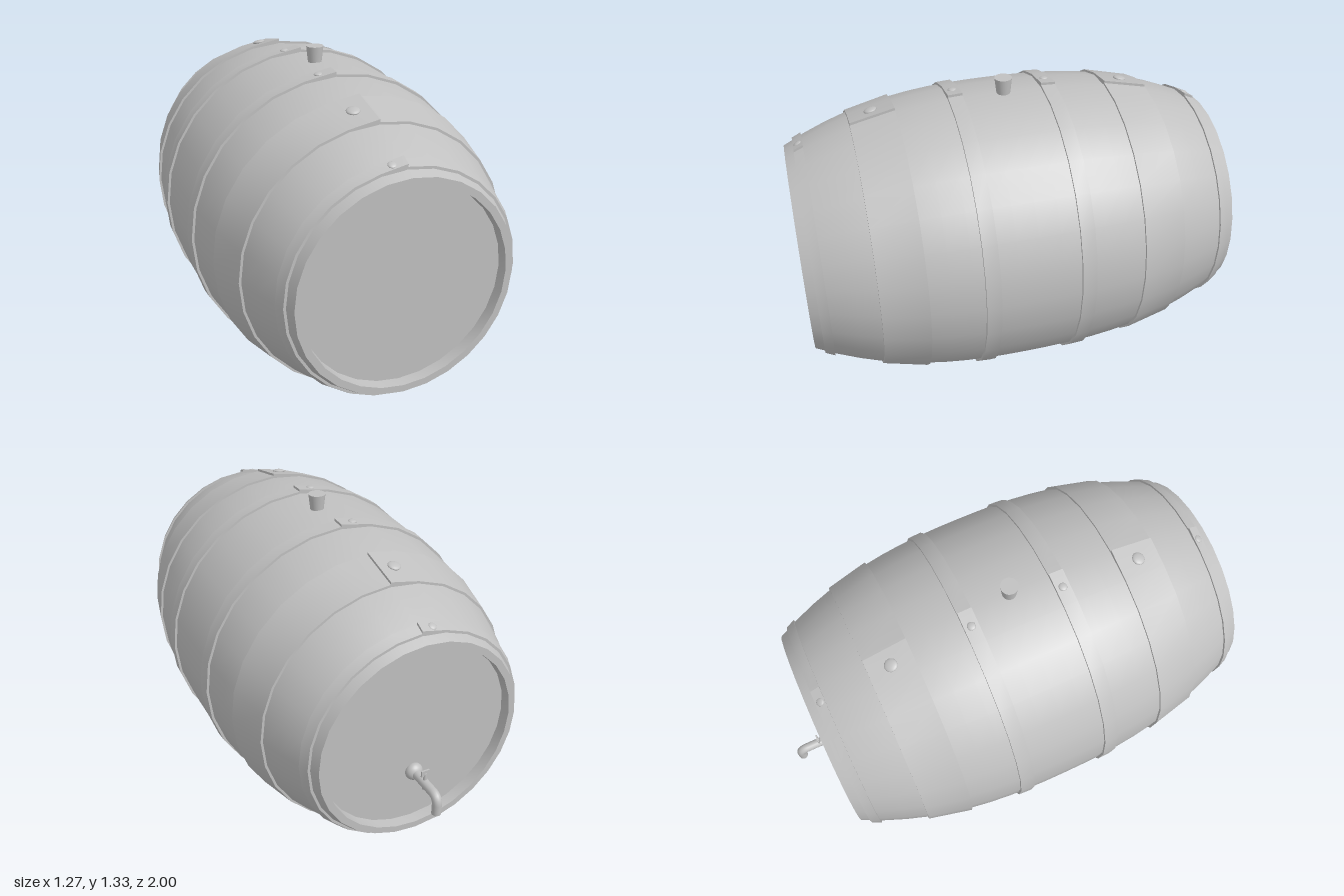
import * as THREE from 'three';
import { toCreasedNormals, mergeGeometries } from 'three/addons/utils/BufferGeometryUtils.js';

const SEGMENTS = 28;
const HALF = 0.92; // half length of the barrel
const CENTER_Y = 0.636, CENTER_Z = 0.08;

// radius of the staves at distance d from the middle
const staveRadius = (d) => 0.63 - 0.183 * Math.pow(Math.abs(d) / HALF, 2.5);

// lathe turned so that its axis runs along z, with the seam at the top
function latheZ(points) {
  const pts = points.map(([r, z]) => new THREE.Vector2(r, z));
  return new THREE.LatheGeometry(pts, SEGMENTS, Math.PI).rotateX(Math.PI / 2);
}

// metal band whose free end laps over its start at the top
function hoopGeometry(z0, z1) {
  const r0 = staveRadius(z0), r1 = staveRadius(z1), t = 0.01;
  const profile = [[r0 - t, z0], [r0 + t, z0], [r1 + t, z1], [r1 - t, z1], [r0 - t, z0]];
  const band = latheZ(profile);
  const pos = band.attributes.position;
  for (let j = 0; j < profile.length; j++) pos.setY(j, pos.getY(j) + 0.011);
  const corners = [0, 1, 2, 3].map((j) => new THREE.Vector3().fromBufferAttribute(pos, j));
  const end = new THREE.BufferGeometry()
    .setFromPoints([0, 1, 2, 0, 2, 3].map((j) => corners[j]));
  end.computeVertexNormals();
  const solid = toCreasedNormals(band, 0.5);
  solid.deleteAttribute('uv');
  return mergeGeometries([solid, end]);
}

export function createModel() {
  const model = new THREE.Group();
  model.name = 'barrel';
  const grey = new THREE.MeshStandardMaterial({ color: 0xc0c0c0 });
  grey.name = 'grey';

  const barrel = new THREE.Group();
  barrel.name = 'cask';
  barrel.position.set(0, CENTER_Y, CENTER_Z);
  model.add(barrel);

  const add = (name, geometry, x = 0, y = 0, z = 0) => {
    const mesh = new THREE.Mesh(geometry, grey);
    mesh.name = name;
    mesh.position.set(x, y, z);
    barrel.add(mesh);
    return mesh;
  };

  // staves with recessed heads at both ends
  const recess = HALF - 0.045;
  const profile = [[0, -recess], [0.415, -recess], [0.418, -HALF]];
  for (let i = 0; i <= 20; i++) {
    const z = -HALF + (2 * HALF * i) / 20;
    profile.push([staveRadius(z), z]);
  }
  profile.push([0.418, HALF], [0.415, recess], [0, recess]);
  add('staves', toCreasedNormals(latheZ(profile), 0.5));

  // hoops and their rivets, mirrored front to back
  const hoops = [
    ['end', 0.842, 0.882, 0.017],
    ['wide', 0.455, 0.645, 0.028],
    ['middle', 0.17, 0.232, 0.018],
  ];
  for (const [name, a, b, size] of hoops) {
    for (const side of [1, -1]) {
      const [z0, z1] = side > 0 ? [a, b] : [-b, -a];
      add(name + 'Hoop', hoopGeometry(z0, z1));

      const mid = (z0 + z1) / 2, r = staveRadius(mid) + 0.012;
      const x = name === 'end' ? -0.055 : -0.068;
      const rivet = add(name + 'Rivet', new THREE.SphereGeometry(size, 16, 10),
        x, Math.sqrt(r * r - x * x), mid);
      rivet.scale.y = 0.35;
      const slope = (staveRadius(z1) - staveRadius(z0)) / (z1 - z0);
      rivet.rotation.set(-Math.atan(slope), 0, Math.asin(-x / r));
    }
  }

  // bung in the top of the cask
  add('bung', new THREE.CylinderGeometry(0.037, 0.027, 0.09, 24), 0, 0.651, -0.005);

  // tap on the back head
  const tapY = 0.46 - CENTER_Y;
  const flange = add('tapFlange', new THREE.SphereGeometry(0.038, 20, 14), 0, tapY, -recess - 0.008);
  flange.scale.z = 0.8;

  const pipe = new THREE.CurvePath();
  const v = (y, z) => new THREE.Vector3(0, y, z);
  const tipZ = -1.06;
  pipe.add(new THREE.LineCurve3(v(tapY, -recess), v(tapY, tipZ + 0.035)));
  pipe.add(new THREE.QuadraticBezierCurve3(
    v(tapY, tipZ + 0.035), v(tapY, tipZ), v(tapY - 0.035, tipZ)));
  pipe.add(new THREE.LineCurve3(v(tapY - 0.035, tipZ), v(tapY - 0.08, tipZ)));
  add('tapPipe', new THREE.TubeGeometry(pipe, 40, 0.02, 16));
  add('tapMouth', new THREE.CylinderGeometry(0.02, 0.02, 0.004, 16), 0, tapY - 0.079, tipZ);

  // turning handle through the pipe
  add('tapStem', new THREE.CylinderGeometry(0.007, 0.009, 0.08, 12), 0, tapY + 0.01, -0.965);
  add('tapHandle', new THREE.BoxGeometry(0.036, 0.028, 0.007), 0, tapY + 0.05, -0.965);

  return model;
}
